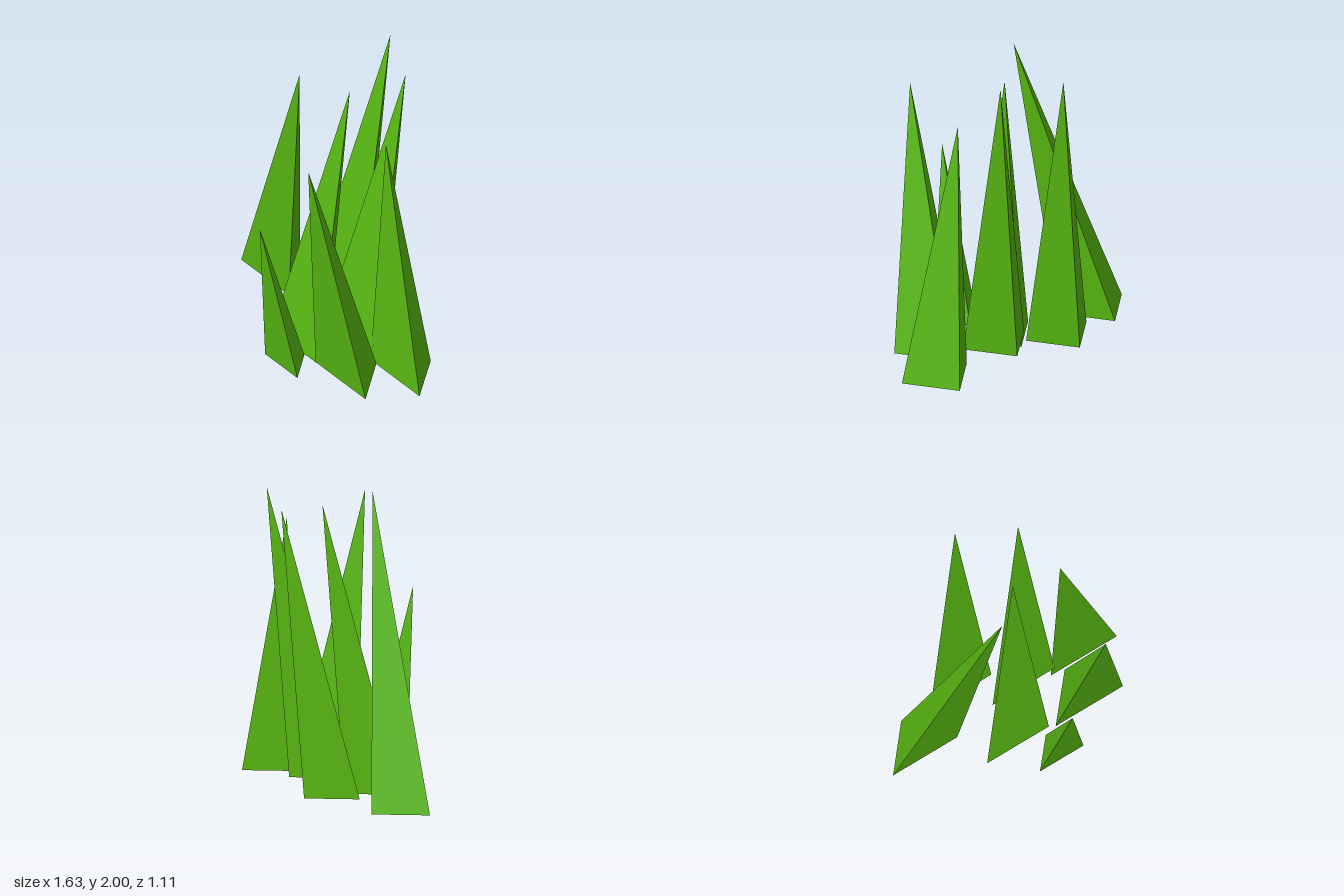
import * as THREE from 'three';

const grass = new THREE.MeshStandardMaterial({ color: 0x58b812, flatShading: true });

// One blade: a three-sided cone, scaled to its base and sheared so the tip leans.
function blade({ left, right, front, back, base, tip }) {
  const depth = front - back;
  const cx = (left + right) / 2;
  const cz = front - depth / 3;
  const [tx, ty, tz] = tip;
  const cone = new THREE.ConeGeometry(1, 1, 3, 1, false, Math.PI);
  cone.translate(0, 0.5, 0);
  cone.applyMatrix4(new THREE.Matrix4().set(
    (right - left) / Math.sqrt(3), tx - cx, 0, cx,
    0, ty - base, 0, base,
    0, tz - cz, depth / 1.5, cz,
    0, 0, 0, 1,
  ));
  const geometry = cone.toNonIndexed();
  geometry.computeVertexNormals();
  return new THREE.Mesh(geometry, grass);
}

export function createModel() {
  const group = new THREE.Group();
  group.name = 'grassTuft';

  const blades = {
    backBlade: { left: -0.413, right: 0.022, front: -0.25, back: -0.503, base: 0.137, tip: [-0.042, 2, -0.556] },
    rightBlade: { left: -0.815, right: -0.36, front: -0.03, back: -0.297, base: 0.113, tip: [-0.112, 1.965, 0.085] },
    middleBlade: { left: -0.275, right: 0.163, front: 0.172, back: -0.083, base: 0, tip: [0.098, 1.86, -0.132] },
    innerBlade: { left: -0.07, right: 0.37, front: -0.09, back: -0.345, base: 0.11, tip: [0.304, 1.98, -0.395] },
    leftBlade: { left: 0.345, right: 0.813, front: -0.093, back: -0.367, base: 0.01, tip: [0.438, 1.655, -0.136] },
    frontLeftBlade: { left: 0.19, right: 0.668, front: 0.205, back: -0.07, base: 0.042, tip: [0.402, 1.695, 0.432] },
    frontBlade: { left: -0.047, right: 0.262, front: 0.403, back: 0.225, base: 0.057, tip: [0.09, 1.138, 0.553] },
  };
  for (const [name, shape] of Object.entries(blades)) {
    const mesh = blade(shape);
    mesh.name = name;
    group.add(mesh);
  }
  return group;
}
